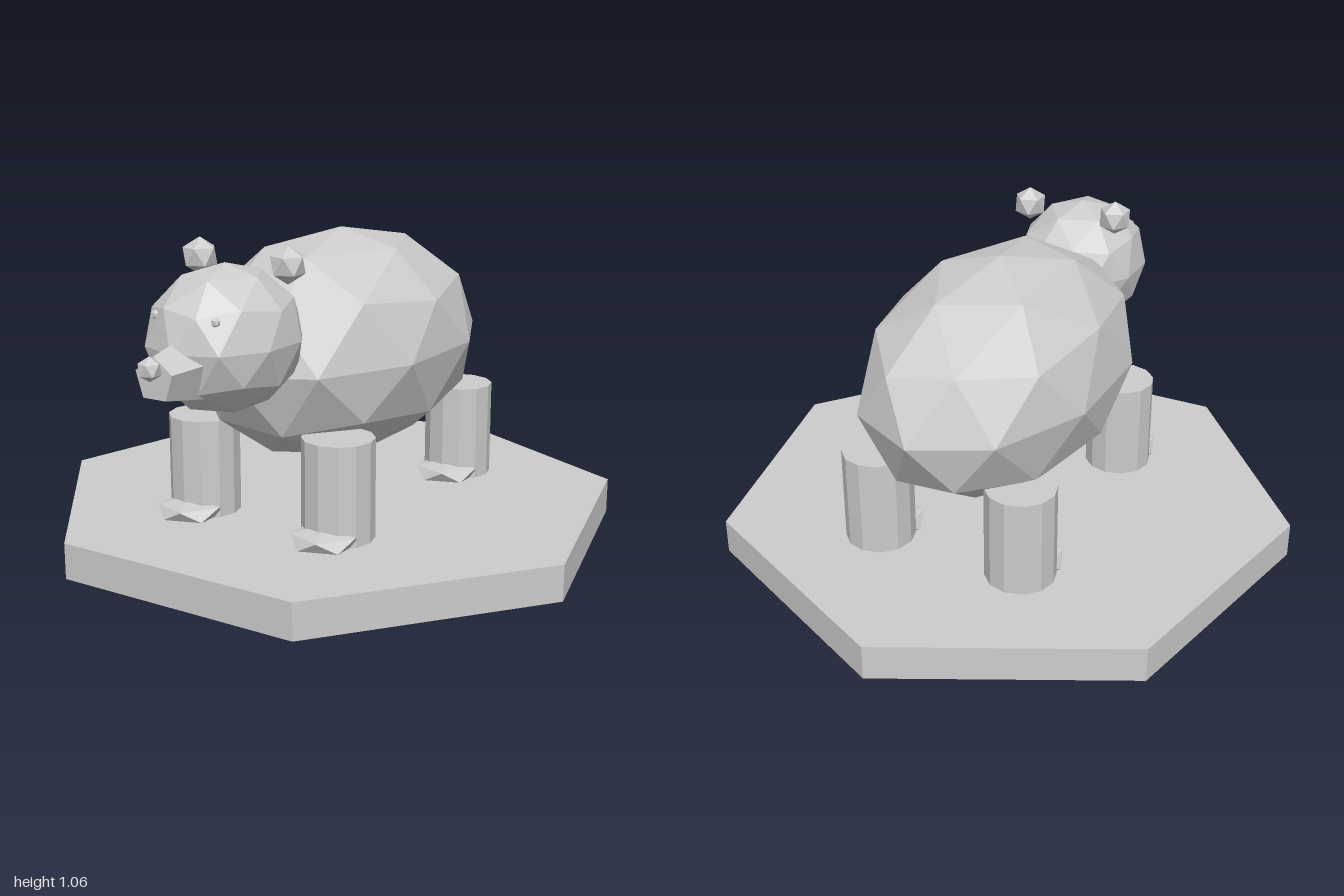
import * as THREE from 'three';

const grey = new THREE.MeshStandardMaterial({ color: 0xcccccc, flatShading: true });
grey.name = 'stone grey';

// Icosphere with a corner at the top and an upper-ring corner on +x
function ball(detail, rx, ry, rz) {
  const g = new THREE.IcosahedronGeometry(1, detail);
  g.rotateZ(Math.atan(2 / (1 + Math.sqrt(5))));
  g.rotateY(Math.PI);
  g.scale(rx, ry, rz);
  return g;
}

export function createModel() {
  const model = new THREE.Group();
  model.name = 'bear on plinth';

  function add(name, geometry, x, y, z) {
    const mesh = new THREE.Mesh(geometry, grey);
    mesh.name = name;
    mesh.position.set(x, y, z);
    model.add(mesh);
    return mesh;
  }

  // Seven-sided plinth with a corner at the back
  add('plinth', new THREE.CylinderGeometry(0.994, 0.994, 0.12, 7).rotateY(Math.PI), 0, 0.06, -0.006);

  // Body and head
  add('body', ball(1, 0.415, 0.39, 0.645), 0, 0.65, -0.06);
  add('head', ball(1, 0.232, 0.233, 0.27), 0, 0.778, 0.6);

  // Tapered five-sided muzzle, ridge upwards, with a small nose
  const muzzle = new THREE.CylinderGeometry(0.07, 0.105, 0.17, 5).rotateY(Math.PI).rotateX(Math.PI / 2);
  add('muzzle', muzzle, 0, 0.72, 0.86);
  add('nose', ball(0, 0.038, 0.038, 0.038), 0, 0.756, 0.962);

  for (const [side, s] of [['left', 1], ['right', -1]]) {
    add(side + 'Ear', ball(0, 0.06, 0.06, 0.06), s * 0.165, 1.004, 0.505);
    add(side + 'Eye', ball(0, 0.015, 0.015, 0.015), s * 0.11, 0.873, 0.795);

    // Legs with flattened paws in front
    for (const [end, z] of [['Front', 0.375], ['Back', -0.445]]) {
      add(side + end + 'Leg', new THREE.CylinderGeometry(0.118, 0.118, 0.33, 12), s * 0.263, 0.285, z);
      add(side + end + 'Paw', ball(0, 0.122, 0.04, 0.13), s * 0.263, 0.14, z + 0.075);
    }
  }
  return model;
}
